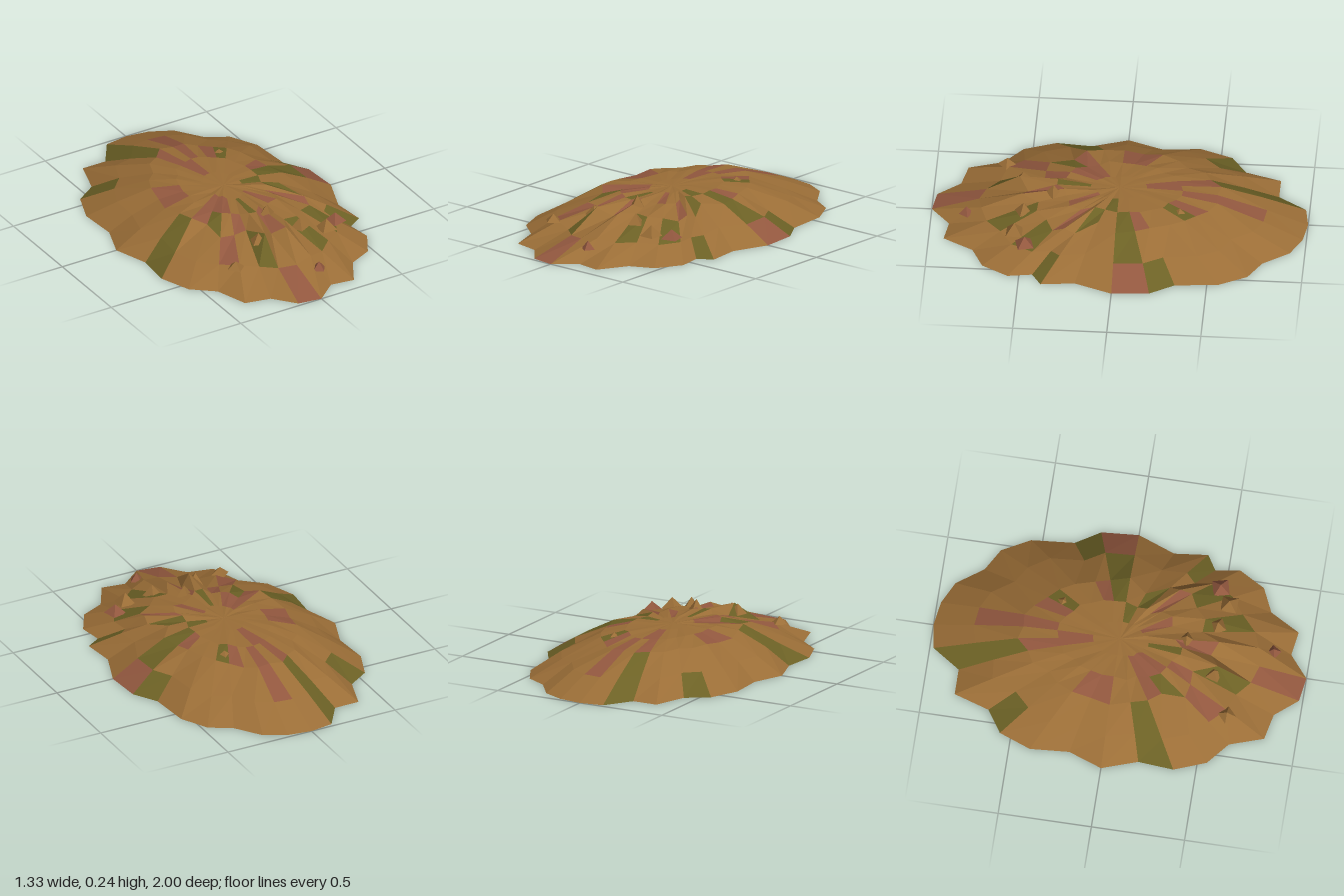
import * as THREE from 'three';

// Ground outline (x, z), clockwise from the back
const OUTLINE = [
  [0, -1], [0.13, -0.98], [0.25, -0.92], [0.35, -0.78], [0.47, -0.71], [0.55, -0.56], [0.57, -0.33],
  [0.65, -0.2], [0.665, 0], [0.59, 0.2], [0.61, 0.38], [0.53, 0.43], [0.55, 0.56], [0.47, 0.7],
  [0.34, 0.76], [0.25, 0.92], [0.12, 0.9], [0, 1], [-0.13, 0.98], [-0.23, 0.86], [-0.37, 0.83],
  [-0.43, 0.65], [-0.55, 0.55], [-0.615, 0.38], [-0.6, 0.19], [-0.665, 0], [-0.6, -0.18],
  [-0.615, -0.39], [-0.55, -0.56], [-0.43, -0.64], [-0.37, -0.83], [-0.23, -0.83], [-0.13, -0.98],
];
const N = OUTLINE.length;

// Rings from the ground to the top: fraction of the outline, height, roughness
const RINGS = [
  [1, 0, 0], [0.78, 0.09, 0.6], [0.54, 0.172, 1], [0.34, 0.197, 0.5], [0.15, 0.2, 0.15],
];

// Sectors in each band with red clay or moss; the rest is bare earth
const RED = [[7, 17], [0, 20], [0, 2, 6, 11, 16, 19, 22, 25, 26, 31], [13, 20, 21, 22, 31, 32]];
const MOSS = [[6, 10, 23, 28, 31], [7, 12, 14, 18, 23, 31], [3, 7, 9, 21], [8, 17]];

// Loose shards: x, base y, z, radius, height
const SHARDS = [
  [0.055, 0.18, 0.35, 0.045, 0.06], [0.17, 0.17, -0.33, 0.045, 0.035], [0.4, 0.1, 0.48, 0.06, 0.05],
  [0.31, 0.11, 0.54, 0.06, 0.06], [-0.1, 0.14, 0.52, 0.05, 0.055], [0.1, 0.06, 0.81, 0.04, 0.045],
  [-0.3, 0.09, 0.62, 0.05, 0.04], [0.17, 0.14, 0.5, 0.05, 0.06],
];

function seeded(seed) {
  return () => {
    seed = (seed * 16807) % 2147483647;
    return seed / 2147483647;
  };
}

function soil(color) {
  return new THREE.MeshStandardMaterial({ color, flatShading: true, roughness: 1 });
}

function facets(name, positions, material) {
  const geometry = new THREE.BufferGeometry();
  geometry.setAttribute('position', new THREE.Float32BufferAttribute(positions, 3));
  geometry.computeVertexNormals();
  const mesh = new THREE.Mesh(geometry, material);
  mesh.name = name;
  return mesh;
}

export function createModel() {
  const group = new THREE.Group();
  group.name = 'earthMound';
  const random = seeded(4711);
  const earth = soil(0x9b6e37), clay = soil(0x93583f), moss = soil(0x6c6125);

  // Ring points, rougher on the front half
  const rings = RINGS.map(([f, y, rough]) => OUTLINE.map(([x, z]) => {
    const wild = rough * (z > 0.15 ? 1 : 0.3);
    const k = f + (random() - 0.5) * 0.16 * wild;
    const h = y + (random() - 0.6) * 0.05 * wild;
    // inner rings even out toward a smooth oval
    const a = Math.atan2(z, x / 0.665);
    const t = 1 - f;
    return [
      k * THREE.MathUtils.lerp(x, 0.63 * Math.cos(a), t),
      Math.min(h, 0.21),
      k * THREE.MathUtils.lerp(z, 0.96 * Math.sin(a), t),
    ];
  }));

  // Sort each faceted patch into its soil
  const patches = { earth: [], clay: [], moss: [] };
  for (let r = 0; r < rings.length - 1; r++) {
    for (let i = 0; i < N; i++) {
      const j = (i + 1) % N;
      const kind = RED[r].includes(i) ? 'clay' : MOSS[r].includes(i) ? 'moss' : 'earth';
      const a = rings[r][i], b = rings[r + 1][i], c = rings[r + 1][j], d = rings[r][j];
      patches[kind].push(...a, ...b, ...d, ...b, ...c, ...d);
    }
  }

  // Flat crown and underside close the mound
  const top = rings[rings.length - 1];
  const base = [];
  for (let i = 0; i < N; i++) {
    const j = (i + 1) % N;
    patches.earth.push(...top[i], 0, 0.2, 0, ...top[j]);
    base.push(...rings[0][i], ...rings[0][j], 0, 0, 0);
  }
  group.add(
    facets('bareEarth', patches.earth, earth),
    facets('redClay', patches.clay, clay),
    facets('mossPatches', patches.moss, moss),
    facets('underside', base, earth),
  );

  // Jagged shards breaking the surface
  SHARDS.forEach(([x, y, z, radius, height], i) => {
    const shard = new THREE.Mesh(new THREE.ConeGeometry(radius, height, 4), i % 3 === 2 ? clay : earth);
    shard.name = 'shard';
    shard.position.set(x, y + height / 2, z);
    shard.rotation.y = i * 1.3;
    group.add(shard);
  });

  return group;
}
